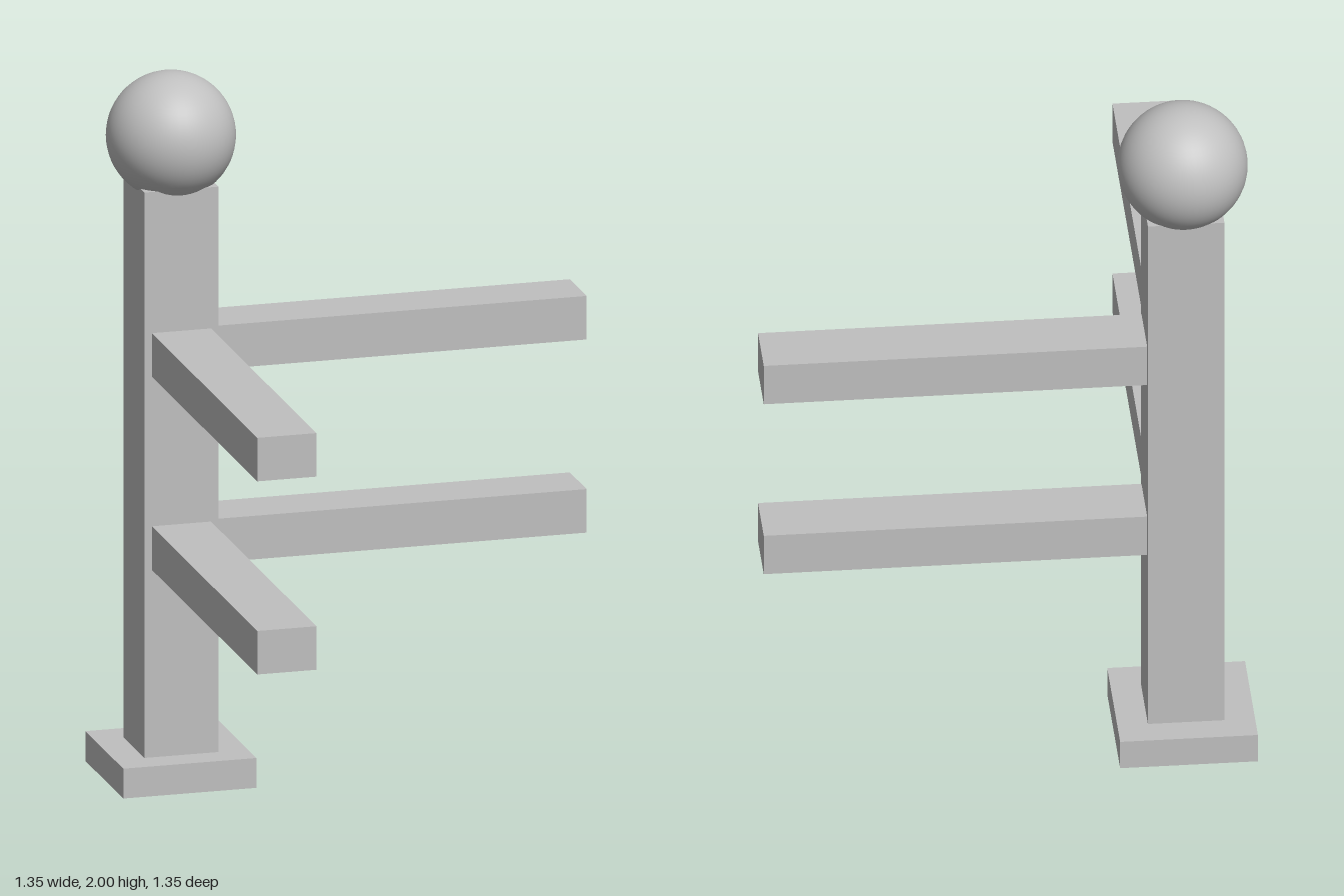
import * as THREE from 'three';

export function createModel() {
  const model = new THREE.Group();
  model.name = 'cornerFencePost';
  const grey = new THREE.MeshStandardMaterial({ color: 0xc0c0c0 });
  grey.name = 'light grey';

  const C = -0.484;         // post axis, same in x and z
  const POST = 0.21;        // post width
  const BASE = 0.378;       // base plate width
  const BASE_H = 0.085;
  const POST_TOP = 1.695;
  const RAIL_END = 0.673;
  const RAIL_W = 0.168, RAIL_H = 0.124;
  const BALL_R = 0.178;

  const add = (name, geometry, x, y, z) => {
    const mesh = new THREE.Mesh(geometry, grey);
    mesh.name = name;
    mesh.position.set(x, y, z);
    model.add(mesh);
  };

  // Base plate, square post and ball finial
  add('basePlate', new THREE.BoxGeometry(BASE, BASE_H, BASE), C, BASE_H / 2, C);
  add('post', new THREE.BoxGeometry(POST, POST_TOP - BASE_H, POST), C, (POST_TOP + BASE_H) / 2, C);
  add('ballFinial', new THREE.SphereGeometry(BALL_R, 48, 32), C, 2 - BALL_R, C);

  // Two pairs of rails meeting at the corner post
  const start = C + POST / 2;
  const length = RAIL_END - start;
  const mid = (RAIL_END + start) / 2;
  for (const [level, y] of [['lower', 0.681], ['upper', 1.231]]) {
    add(level + 'SideRail', new THREE.BoxGeometry(length, RAIL_H, RAIL_W), mid, y, C);
    add(level + 'FrontRail', new THREE.BoxGeometry(RAIL_W, RAIL_H, length), C, y, mid);
  }
  return model;
}
